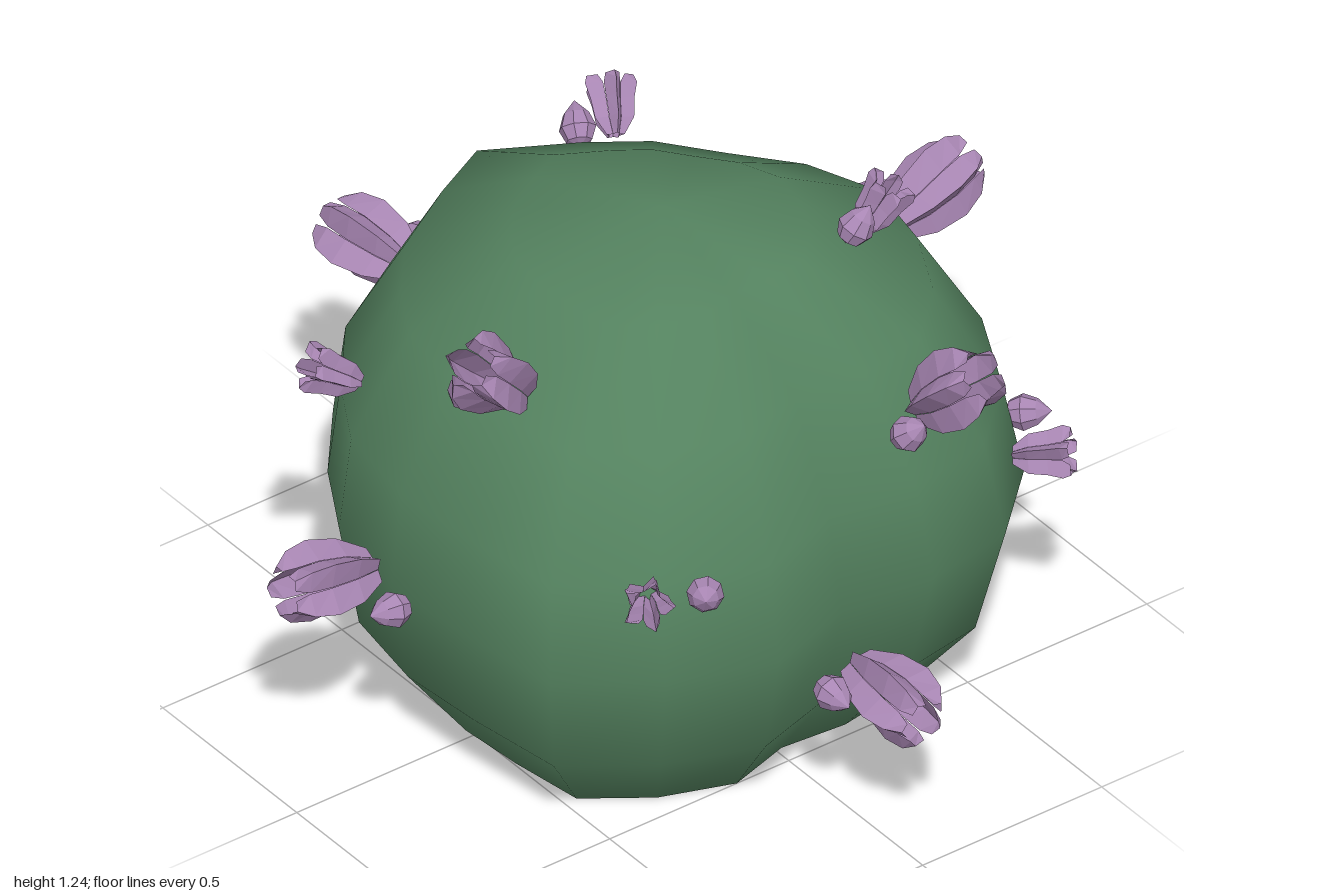
import * as THREE from 'three';

const green = new THREE.MeshStandardMaterial({ color: 0x54825f });
green.name = 'cactusGreen';
const mauve = new THREE.MeshStandardMaterial({ color: 0xa886b3, flatShading: true, side: THREE.DoubleSide });
mauve.name = 'blossomMauve';

// Lumpy body: one plan outline, scaled and slightly shifted at each height
const outline = [
  [-0.03, -0.85], [0.23, -0.80], [0.47, -0.68], [0.64, -0.50], [0.68, -0.27], [0.66, -0.03],
  [0.73, 0.20], [0.64, 0.45], [0.49, 0.66], [0.22, 0.70], [-0.02, 0.72], [-0.27, 0.68],
  [-0.46, 0.57], [-0.64, 0.42], [-0.79, 0.17], [-0.89, -0.03], [-0.74, -0.30], [-0.62, -0.47],
  [-0.44, -0.61], [-0.26, -0.76],
];
// [height, scale, centre x, centre z]
const levels = [
  [0, 0.70, -0.06, -0.03], [0.22, 0.925, -0.07, -0.04], [0.49, 1, -0.07, -0.05],
  [0.73, 0.95, -0.07, -0.04], [0.98, 0.765, -0.07, -0.04], [1.15, 0.43, -0.04, -0.02],
];

function ring([y, s, cx, cz]) {
  return outline.flatMap(([x, z]) => [cx + (x + 0.07) * s, y, cz + (z + 0.05) * s]);
}

function makeGeometry(positions, index) {
  const g = new THREE.BufferGeometry();
  g.setAttribute('position', new THREE.Float32BufferAttribute(positions, 3));
  g.setIndex(index);
  g.computeVertexNormals();
  return g;
}

function bodyGeometry() {
  const n = outline.length, index = [];
  const pos = levels.flatMap(ring);
  pos.push(-0.02, 1.215, -0.03);
  const top = levels.length * n;
  for (let r = 0; r < levels.length; r++) {
    for (let i = 0; i < n; i++) {
      const a = r * n + i, b = r * n + (i + 1) % n;
      if (r === levels.length - 1) index.push(a, top, b);
      else index.push(a, a + n, b, b, a + n, b + n);
    }
  }
  return makeGeometry(pos, index);
}

function baseGeometry() {
  const n = outline.length, index = [];
  for (let i = 0; i < n; i++) index.push(n, i, (i + 1) % n);
  return makeGeometry([...ring(levels[0]), -0.06, 0, -0.03], index);
}

// Five deeply folded petals along +y; rows are [height, ridge radius, edge radius, half angle]
function flowerGeometry(rows) {
  const pos = [], index = [];
  for (let p = 0; p < 5; p++) {
    const mid = p * Math.PI * 2 / 5, start = pos.length / 3;
    for (const [y, ridge, edge, half] of rows) {
      for (const k of [-1, 0, 1]) {
        const r = k ? edge : ridge, a = mid + k * half;
        pos.push(Math.sin(a) * r, y, Math.cos(a) * r);
      }
    }
    for (let r = 0; r < rows.length - 1; r++) {
      for (let k = 0; k < 2; k++) {
        const a = start + r * 3 + k;
        index.push(a, a + 1, a + 3, a + 1, a + 4, a + 3);
      }
    }
  }
  return makeGeometry(pos, index);
}

const bigFlower = flowerGeometry([
  [-0.125, 0.045, 0.025, 0.62], [-0.05, 0.085, 0.048, 0.62], [0.03, 0.1, 0.058, 0.62],
  [0.09, 0.088, 0.055, 0.6], [0.125, 0.06, 0.05, 0.4],
]);
const smallFlower = flowerGeometry([
  [-0.068, 0.022, 0.012, 0.62], [-0.03, 0.048, 0.024, 0.62], [0.015, 0.054, 0.028, 0.62],
  [0.05, 0.064, 0.034, 0.6], [0.068, 0.058, 0.042, 0.4],
]);
const bud = new THREE.LatheGeometry(
  [[0, -0.05], [0.03, -0.036], [0.043, -0.006], [0.03, 0.028], [0, 0.06]].map(([r, y]) => new THREE.Vector2(r, y)), 8);

// [flower centre, growing direction, bud centre]
const bigSpots = [
  [[-0.06, 0.55, 0.87], [0, 0.15, 1], [0.085, 0.52, 0.80]],
  [[0.865, 0.39, -0.01], [1, -0.08, 0], [0.80, 0.40, 0.10]],
  [[-0.885, 0.68, 0.13], [-1, 0.08, 0.18], [-0.86, 0.66, 0.01]],
  [[0.17, 1.11, 0.575], [0.2, 0.8, 0.75], [0.08, 1.03, 0.59]],
  [[0.68, 0.985, -0.32], [0.75, 0.72, -0.2], [0.67, 0.91, -0.21]],
  [[-0.145, 0.825, -0.875], [-0.12, 0.33, -1], [-0.25, 0.78, -0.79]],
];
const smallSpots = [
  [[-0.33, 0.87, 0.65], [-0.3, 0.45, 0.7], [-0.42, 0.80, 0.61]],
  [[0.64, 0.74, 0.50], [0.7, 0.3, 0.5], [0.67, 0.71, 0.36]],
  [[0.19, 1.14, -0.48], [0.2, 0.8, -0.45], [0.22, 1.14, -0.40]],
  [[0.58, 0.61, -0.65], [0.65, 0.15, -0.65], [0.45, 0.63, -0.70]],
  [[-0.73, 0.46, -0.53], [-0.75, 0, -0.6], [-0.76, 0.42, -0.39]],
  [[-0.63, 1.0, -0.35], [-0.65, 0.55, -0.35], [-0.65, 0.97, -0.27]],
];

export function createModel() {
  const model = new THREE.Group();
  model.name = 'floweringCactus';
  const up = new THREE.Vector3(0, 1, 0);

  function add(name, geometry, material, at, dir) {
    const mesh = new THREE.Mesh(geometry, material);
    mesh.name = name;
    if (at) mesh.position.set(...at);
    if (dir) mesh.quaternion.setFromUnitVectors(up, new THREE.Vector3(...dir).normalize());
    model.add(mesh);
  }

  add('body', bodyGeometry(), green);
  add('flatBase', baseGeometry(), green);
  for (const [at, dir, budAt] of bigSpots) {
    add('bigFlower', bigFlower, mauve, at, dir);
    add('bud', bud, mauve, budAt, dir);
  }
  for (const [at, dir, budAt] of smallSpots) {
    add('smallFlower', smallFlower, mauve, at, dir);
    add('bud', bud, mauve, budAt, dir);
  }
  return model;
}
